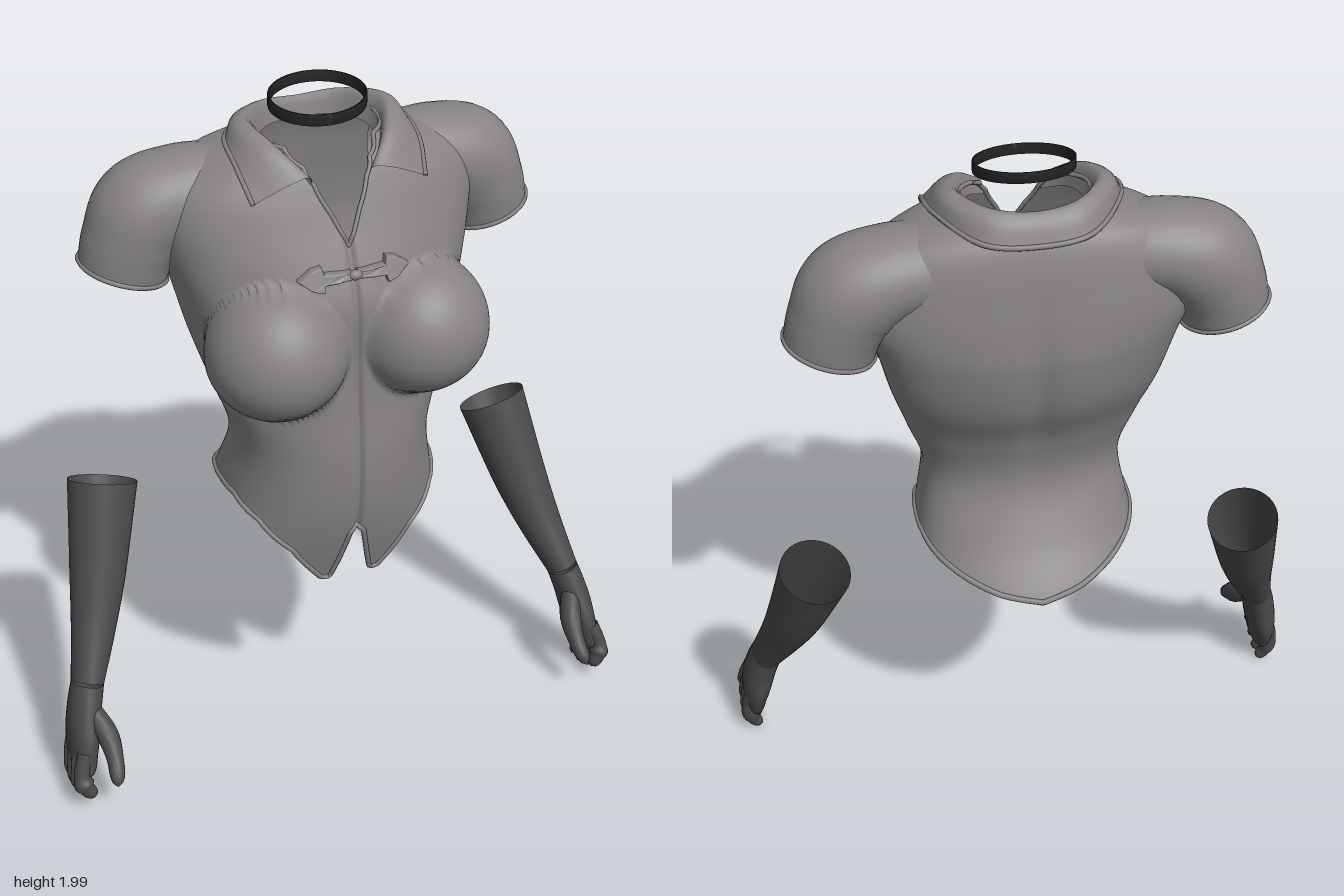
import * as THREE from 'three';

const V = (x, y, z) => new THREE.Vector3(x, y, z);
const mat = (color) => new THREE.MeshStandardMaterial({ color, roughness: 0.8, side: THREE.DoubleSide });
const cloth = mat(0x878385), glove = mat(0x4a4a4a), dark = mat(0x222222);

function add(parent, name, geometry, material) {
  const m = new THREE.Mesh(geometry, material);
  m.name = name;
  parent.add(m);
  return m;
}

// Smooth skin over rows of points; skip(p) leaves out quads
function skin(rows, closed = true, skip = () => false) {
  const n = rows[0].length, index = [];
  for (let i = 0; i < rows.length - 1; i++) {
    for (let j = 0; j < (closed ? n : n - 1); j++) {
      if (skip(rows[i][j])) continue;
      const k = (j + 1) % n, a = i * n + j, b = i * n + k;
      index.push(a, b, a + n, b, b + n, a + n);
    }
  }
  const g = new THREE.BufferGeometry().setFromPoints(rows.flat());
  g.setIndex(index);
  g.computeVertexNormals();
  return g;
}

// Elliptical rings along stations [x, y, z, radiusU, radiusW]
function rings(stations, steps, sides = 28, round = false) {
  const path = new THREE.CatmullRomCurve3(stations.map((s) => V(s[0], s[1], s[2])));
  const radii = new THREE.CatmullRomCurve3(stations.map((s) => V(s[3], s[4], 0)));
  const rows = [];
  for (let i = 0; i <= steps; i++) {
    const t = i / steps, p = path.getPoint(t), r = radii.getPoint(t), d = path.getTangent(t);
    const w = V(0, 0, 1).addScaledVector(d, -d.z).normalize();
    const u = w.clone().cross(d);
    const end = round ? Math.sqrt(Math.max(0, 1 - Math.pow(Math.max(0, t - 0.8) / 0.2, 2))) : 1;
    rows.push(Array.from({ length: sides }, (_, j) => {
      const a = (j / sides) * Math.PI * 2;
      return p.clone().addScaledVector(u, r.x * end * Math.cos(a)).addScaledVector(w, r.y * end * Math.sin(a));
    }));
  }
  return rows;
}

const rim = (pts, r, closed = true) =>
  new THREE.TubeGeometry(new THREE.CatmullRomCurve3(pts, closed), pts.length * 2, r, 6, closed);

// Value lookup in rows sorted by their first column
function lookup(table, t, smooth) {
  let i = 0;
  while (i < table.length - 2 && t > table[i + 1][0]) i++;
  const A = table[i], B = table[i + 1], h = B[0] - A[0];
  const f = THREE.MathUtils.clamp((t - A[0]) / h, 0, 1);
  return A.map((a, c) => {
    if (!smooth) return a + (B[c] - a) * f;
    const P = table[Math.max(i - 1, 0)], N = table[Math.min(i + 2, table.length - 1)];
    const m0 = (B[c] - P[c]) / (B[0] - P[0]) * h, m1 = (N[c] - a) / (N[0] - A[0]) * h;
    const f2 = f * f, f3 = f2 * f;
    return a * (2 * f3 - 3 * f2 + 1) + m0 * (f3 - 2 * f2 + f) + B[c] * (3 * f2 - 2 * f3) + m1 * (f3 - f2);
  });
}

// Torso sections: y, half width, front z, back z, side z
const body = [
  [0.6, 0.36, 0.185, -0.45, -0.05], [0.77, 0.33, 0.235, -0.345, -0.05], [0.9, 0.295, 0.26, -0.25, -0.03],
  [1.05, 0.275, 0.265, -0.18, 0], [1.2, 0.32, 0.25, -0.205, -0.02], [1.35, 0.365, 0.24, -0.275, -0.06],
  [1.5, 0.4, 0.235, -0.305, -0.1], [1.6, 0.43, 0.2, -0.3, -0.13], [1.7, 0.44, 0.155, -0.285, -0.13],
  [1.78, 0.41, 0.12, -0.27, -0.13], [1.84, 0.32, 0.09, -0.25, -0.13], [1.88, 0.2, 0.05, -0.22, -0.1],
  [1.91, 0.15, 0.03, -0.19, -0.08],
];
// Edge heights by angle from the front
const hem = [[0, 0.82], [0.06, 0.8], [0.13, 0.68], [0.17, 0.62], [0.24, 0.62], [0.55, 0.75], [0.95, 0.84],
  [1.35, 0.88], [1.8, 0.87], [2.3, 0.83], [2.8, 0.785], [3.15, 0.765]];
const neckline = [[0, 1.655], [0.09, 1.74], [0.19, 1.81], [0.31, 1.85], [0.7, 1.885], [1.57, 1.9], [3.15, 1.88]];

function torsoPoint(a, y) {
  const [, w, zf, zb, zc] = lookup(body, y, true);
  const c = Math.cos(a);
  let x = w * Math.sin(a), z = zc + (c > 0 ? zf - zc : zc - zb) * Math.sign(c) * Math.pow(Math.abs(c), 0.8);
  // bust: push outward to a rounded volume on each side
  const dy = y - 1.38, s = 1 - Math.pow(dy / (dy > 0 ? 0.2 : 0.18), 2);
  if (s > 0 && c > -0.3) {
    const t = Math.hypot(x, z - zc), dx = Math.abs(x) / t, dz = (z - zc) / t;
    const oz = 0.165 - zc, mid = 0.2 * dx + oz * dz;
    const q = 0.19 * 0.19 * s - (0.04 + oz * oz - mid * mid);
    if (q > 0) {
      const far = mid + Math.sqrt(q), k = 0.03, h = Math.max(k - Math.abs(far - t), 0) / k;
      const f = (Math.max(far, t) + h * h * k / 4) / t;
      x *= f;
      z = zc + (z - zc) * f;
    }
  }
  // front closure groove and spine hollow
  if (c > 0) z -= 0.012 * Math.exp(-Math.pow(x / 0.01, 2));
  else z += 0.016 * Math.exp(-Math.pow(x / 0.045, 2) - Math.pow((y - 1.4) / 0.25, 2));
  return V(x, y, z);
}

function makeTorso(g) {
  const rows = [], n = 180, m = 76;
  for (let i = 0; i <= m; i++) {
    const v = 1 - Math.pow(1 - i / m, 1.5);
    rows.push(Array.from({ length: n }, (_, j) => {
      const s = (j / n * 2 - 1) * Math.PI, a = s - 0.72 * Math.sin(s);
      const lo = lookup(hem, Math.abs(a))[1], hi = lookup(neckline, Math.abs(a))[1];
      return torsoPoint(a, lo + (hi - lo) * v);
    }));
  }
  // arm holes hidden inside the sleeves
  const armhole = (p) => Math.abs(p.x) > 0.3 && Math.hypot(p.y - 1.68, p.z + 0.13) < 0.085;
  add(g, 'bodice', skin(rows, true, armhole), cloth);
  add(g, 'hemEdge', rim(rows[0], 0.008), cloth);
  add(g, 'necklineEdge', rim(rows[m], 0.006), cloth);
}

function makeSleeve(g, s) {
  const rows = rings([[0.22, 1.74, -0.12, 0.11, 0.12], [0.36, 1.735, -0.13, 0.122, 0.135],
    [0.45, 1.695, -0.135, 0.14, 0.138], [0.495, 1.62, -0.135, 0.128, 0.13], [0.52, 1.54, -0.135, 0.12, 0.118]]
    .map(([x, ...r]) => [x * s, ...r]), 28, 40);
  add(g, 'sleeve', skin(rows), cloth);
  add(g, 'sleeveCuff', rim(rows[28], 0.007), cloth);
}

function makeCollar(g) {
  // half curves from front to back centre: stand, fold, fall, edge
  const halves = [
    [[0.075, 1.8, 0.1], [0.13, 1.84, 0.03], [0.15, 1.86, -0.08], [0.1, 1.86, -0.17], [0, 1.86, -0.19]],
    [[0.085, 1.84, 0.115], [0.145, 1.9, 0.04], [0.185, 1.935, -0.09], [0.11, 1.925, -0.185], [0, 1.915, -0.205]],
    [[0.13, 1.835, 0.12], [0.19, 1.9, 0.035], [0.22, 1.925, -0.1], [0.125, 1.905, -0.215], [0, 1.895, -0.235]],
    [[0.235, 1.785, 0.105], [0.25, 1.855, 0.02], [0.24, 1.88, -0.1], [0.135, 1.855, -0.24], [0, 1.845, -0.258]],
  ];
  const lines = halves.map((h) => new THREE.CatmullRomCurve3(
    [...h, ...h.slice(0, -1).reverse().map(([x, y, z]) => [-x, y, z])].map((p) => V(...p))).getPoints(56));
  const across = lines[0].map((_, j) => new THREE.CatmullRomCurve3(lines.map((l) => l[j])).getPoints(12));
  add(g, 'collar', skin(across, false), cloth);
  add(g, 'collarEdge', rim(lines[3], 0.007, false), cloth);
}

function makeClasp(g) {
  const outline = [[0.012, 0.007], [0.05, 0.009], [0.085, 0.011], [0.09, 0.028], [0.115, 0.022], [0.148, 0]];
  const pts = [...outline, ...outline.slice(0, -1).reverse().map(([x, y]) => [x, -y])];
  for (const s of [1, -1]) {
    const shape = new THREE.Shape(pts.map(([x, y]) => new THREE.Vector2(x * s, y)));
    const geo = new THREE.ExtrudeGeometry(shape, { depth: 0.016, bevelEnabled: true, bevelSize: 0.003, bevelThickness: 0.004, bevelSegments: 2 });
    const p = geo.attributes.position;
    for (let i = 0; i < p.count; i++) {
      const y = 1.595 + p.getY(i);
      p.setXYZ(i, p.getX(i), y, p.getZ(i) + torsoPoint(Math.asin(p.getX(i) / 0.43), y).z);
    }
    geo.computeVertexNormals();
    add(g, 'claspTab', geo, cloth);
  }
  const knot = add(g, 'claspKnot', new THREE.SphereGeometry(0.014, 16, 12), cloth);
  knot.position.set(0, 1.595, 0.212);
  knot.scale.x = 1.4;
}

function makeChoker(g) {
  const profile = [[0, -0.015], [0.006, -0.015], [0.006, 0.015], [0, 0.015], [0, -0.015]];
  const geo = new THREE.LatheGeometry(profile.map(([r, y]) => new THREE.Vector2(0.125 + r, y)), 48);
  geo.scale(1, 1, 0.8);
  const p = geo.attributes.position;
  for (let i = 0; i < p.count; i++) p.setY(i, p.getY(i) - 0.15 * p.getZ(i));
  geo.translate(0, 1.97, -0.06);
  geo.computeVertexNormals();
  add(g, 'choker', geo, dark);
}

function makeGlove(g, s) {
  const part = (name, st, steps, sides) =>
    add(g, name, skin(rings(st.map(([x, ...r]) => [x * s, ...r]), steps, sides, name !== 'forearm')), glove);
  part('forearm', [[0.605, 0.84, -0.19, 0.1, 0.098], [0.665, 0.6, -0.08, 0.08, 0.08],
    [0.705, 0.47, -0.01, 0.064, 0.066], [0.752, 0.34, 0.065, 0.046, 0.058]], 24, 32);
  part('hand', [[0.752, 0.34, 0.065, 0.046, 0.058], [0.773, 0.27, 0.09, 0.047, 0.07],
    [0.79, 0.19, 0.115, 0.044, 0.086], [0.8, 0.12, 0.14, 0.036, 0.082], [0.8, 0.075, 0.155, 0.028, 0.072]], 24, 28);
  part('thumb', [[0.762, 0.29, 0.11, 0.026, 0.026], [0.732, 0.23, 0.18, 0.031, 0.034],
    [0.728, 0.18, 0.24, 0.024, 0.024], [0.738, 0.13, 0.295, 0.021, 0.021]], 18, 16);
  // index to little finger, curled in at the tips
  [0.055, 0.03, 0.012, 0.01].forEach((tip, i) => {
    const z = 0.222 - 0.041 * i, r = 0.023 - 0.001 * i;
    part('finger', [[0.8, 0.19, z - 0.035, r, r], [0.822, 0.12, z - 0.012, r, r],
      [0.815, tip + 0.035, z, r, r], [0.79, tip, z + 0.004, r * 0.85, r * 0.85]], 16, 14);
  });
}

export function createModel() {
  const model = new THREE.Group();
  const group = (name) => {
    const g = new THREE.Group();
    g.name = name;
    model.add(g);
    return g;
  };
  const jacket = group('jacket');
  makeTorso(jacket);
  makeCollar(jacket);
  makeClasp(jacket);
  for (const s of [1, -1]) {
    makeSleeve(jacket, s);
    makeGlove(group(s > 0 ? 'leftGlove' : 'rightGlove'), s);
  }
  makeChoker(model);
  return model;
}
